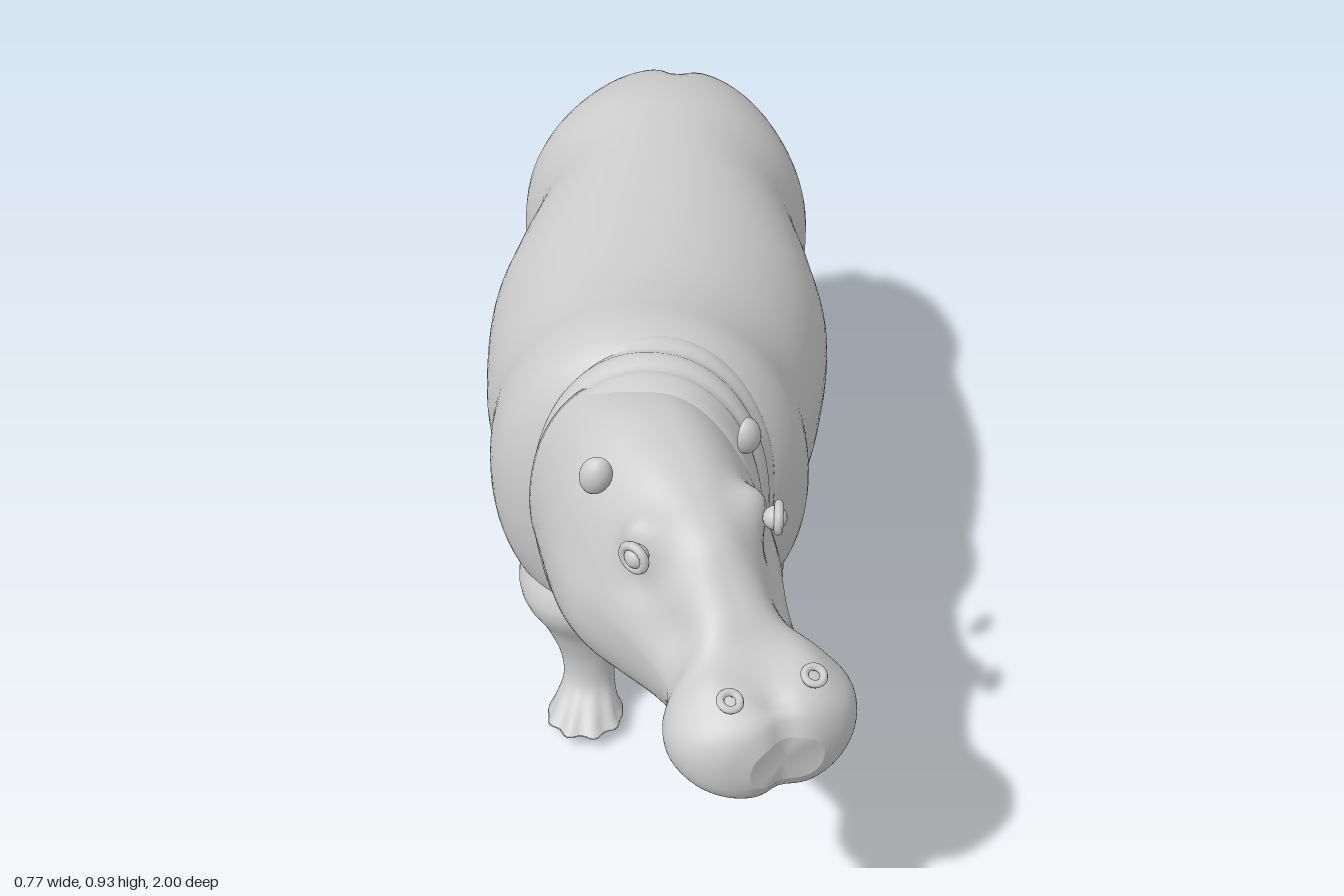
import * as THREE from 'three';

const skin = new THREE.MeshStandardMaterial({ color: 0xcccccc });
const thin = new THREE.MeshStandardMaterial({ color: 0xcccccc, side: THREE.DoubleSide });
const bell = (d, r) => Math.exp(-((d / r) ** 2));

// Catmull-Rom blend of number rows
function smoothRows(rows, sub) {
  const out = [], n = rows.length;
  for (let i = 0; i < n - 1; i++) {
    const [a, b, c, d] = [rows[Math.max(0, i - 1)], rows[i], rows[i + 1], rows[Math.min(n - 1, i + 2)]];
    for (let k = 0; k < sub; k++) {
      const t = k / sub;
      out.push(b.map((v, j) => v + 0.5 * t * (c[j] - a[j]
        + t * (2 * a[j] - 5 * v + 4 * c[j] - d[j] + t * (3 * (v - c[j]) + d[j] - a[j])))));
    }
  }
  out.push(rows[n - 1]);
  return out;
}

// Closed skin through smoothed cross-sections; place(row, cos, sin) gives [x, y, z]
function loft(name, rows, place, { sides = 64, sub = 5, power = 1 } = {}) {
  const pos = [], idx = [];
  const bend = v => Math.sign(v) * Math.abs(v) ** power;
  const rings = smoothRows(rows, sub);
  for (const r of rings) {
    for (let j = 0; j < sides; j++) {
      const t = j / sides * Math.PI * 2;
      pos.push(...place(r, bend(Math.cos(t)), bend(Math.sin(t))));
    }
  }
  for (let i = 0; i < rings.length - 1; i++) {
    for (let j = 0; j < sides; j++) {
      const k = (j + 1) % sides, p = i * sides, q = p + sides;
      idx.push(p + j, p + k, q + j, p + k, q + k, q + j);
    }
  }
  const last = (rings.length - 1) * sides, c0 = pos.length / 3;
  pos.push(...place(rings[0], 0, 0), ...place(rings[rings.length - 1], 0, 0));
  for (let j = 0; j < sides; j++) {
    const k = (j + 1) % sides;
    idx.push(c0, k, j, c0 + 1, last + j, last + k);
  }
  const g = new THREE.BufferGeometry();
  g.setAttribute('position', new THREE.Float32BufferAttribute(pos, 3));
  g.setIndex(idx);
  g.computeVertexNormals();
  const mesh = new THREE.Mesh(g, skin);
  mesh.name = name;
  return mesh;
}

function part(name, geometry, p, rot = [0, 0, 0], s = [1, 1, 1], material = skin) {
  const mesh = new THREE.Mesh(geometry, material);
  mesh.name = name;
  mesh.position.set(...p);
  mesh.rotation.set(...rot);
  mesh.scale.set(...s);
  return mesh;
}

// Torso: z, right edge, left edge, top, bottom
function makeTorso() {
  const rows = [
    [-0.975, -0.09, -0.01, 0.70, 0.60], [-0.95, -0.17, 0.06, 0.78, 0.49], [-0.9, -0.24, 0.13, 0.84, 0.40],
    [-0.8, -0.32, 0.2, 0.9, 0.31], [-0.65, -0.37, 0.25, 0.93, 0.26], [-0.5, -0.335, 0.24, 0.925, 0.25],
    [-0.35, -0.36, 0.28, 0.915, 0.24], [-0.2, -0.38, 0.31, 0.905, 0.23], [0, -0.36, 0.3, 0.897, 0.235],
    [0.12, -0.33, 0.28, 0.905, 0.215], [0.22, -0.32, 0.285, 0.915, 0.195], [0.3, -0.29, 0.25, 0.89, 0.24],
    [0.36, -0.22, 0.2, 0.8, 0.31], [0.39, -0.1, 0.1, 0.65, 0.42]];
  return loft('torso', rows, ([z, l, r, t, b], c, s) => {
    const x = (l + r) / 2 + c * (r - l) / 2;
    const y = (t + b) / 2 + s * (t - b) / 2;
    // cleft between the haunches
    const groove = THREE.MathUtils.smoothstep(-z, 0.7, 0.92) * bell(x + 0.05, 0.03);
    return [x, y - 0.014 * groove * s, z + 0.026 * groove];
  }, { sides: 80, power: 0.95 });
}

// Neck with skin folds leaning back at the top: z, x, half width, top, bottom
function makeNeck() {
  const rows = [[0.12, -0.02, 0.22, 0.88, 0.38], [0.24, -0.01, 0.235, 0.905, 0.34], [0.34, 0, 0.225, 0.908, 0.34],
    [0.44, 0.005, 0.205, 0.9, 0.355], [0.52, 0.03, 0.18, 0.87, 0.385], [0.6, 0.06, 0.12, 0.78, 0.45]];
  return loft('neck', rows, ([z, x, w, t, b], c, s) => {
    const fold = [0.31, 0.365, 0.42].reduce((f, m) => f + bell(z - m, 0.011), 0);
    const k = 1 - 0.03 * fold;
    return [x + c * w * k, (t + b) / 2 + s * (t - b) / 2 * k, z - 0.07 * s];
  }, { sub: 10, power: 0.95 });
}

// Swellings and hollows on both sides of the head: x, y, z, radius, height
const headBumps = [
  [0.105, 0.8, 0.235, 0.042, 0.036], [0.13, 0.72, 0.25, 0.04, -0.012], [0, 0.8, 0.3, 0.05, 0.01],
  [0.1, 0.68, 0.34, 0.05, -0.012], [0.18, 0.57, 0.12, 0.09, 0.014], [0.08, 0.665, 0.48, 0.045, 0.014],
  [0, 0.665, 0.53, 0.03, -0.016], [0.15, 0.58, 0.47, 0.06, 0.012], [0.14, 0.51, 0.36, 0.03, -0.012]];

function makeHead() {
  const head = new THREE.Group();
  head.name = 'head';
  // skull and snout: forward, half width, top, bottom, narrowing of the top
  const rows = [[-0.14, 0.17, 0.86, 0.42, 0.1], [0, 0.19, 0.897, 0.375, 0.15], [0.1, 0.185, 0.89, 0.395, 0.2],
    [0.2, 0.165, 0.862, 0.425, 0.28], [0.3, 0.135, 0.8, 0.45, 0.36], [0.38, 0.125, 0.735, 0.463, 0.3],
    [0.43, 0.148, 0.69, 0.465, 0.12], [0.48, 0.157, 0.664, 0.466, 0.05], [0.53, 0.147, 0.655, 0.47, 0.05],
    [0.562, 0.115, 0.637, 0.48, 0.05], [0.58, 0.065, 0.6, 0.51, 0.05]];
  head.add(loft('skull', rows, ([z, w, t, b, k], c, s) => {
    const x = c * w * (1 - k * Math.max(0, s)), y = (t + b) / 2 + s * (t - b) / 2;
    const h = headBumps.reduce((sum, [bx, by, bz, r, a]) =>
      sum + a * bell(Math.hypot(Math.abs(x) - bx, y - by, z - bz), r), 0);
    const split = THREE.MathUtils.smoothstep(z, 0.5, 0.57) * bell(x, 0.03);
    return [x + c * h, y + s * h, z - 0.014 * split];
  }, { sides: 96, sub: 8, power: 0.82 }));
  for (const m of [1, -1]) {
    head.add(
      part('eye', new THREE.SphereGeometry(0.021, 20, 14), [m * 0.126, 0.79, 0.258]),
      part('eyelid', new THREE.TorusGeometry(0.023, 0.008, 8, 24), [m * 0.132, 0.79, 0.26], [0, m * 1.1, 0]),
      part('nostril', new THREE.TorusGeometry(0.016, 0.007, 8, 20), [m * 0.075, 0.668, 0.515], [-1.2, 0, 0]),
      // cupped ear opening forward and outward
      part('ear', new THREE.SphereGeometry(1, 20, 12, Math.PI, Math.PI), [m * 0.138, 0.862, 0.115],
        [0, Math.PI + m * 0.6, m * -0.3], [0.028, 0.038, 0.026], thin));
  }
  head.position.z = 0.45;
  head.rotation.y = 0.5;
  return head;
}

// Leg sections: y, x, z, half width, half depth, toe spread
function makeLeg(name, rows) {
  return loft(name, rows, ([y, x, z, a, b, f], c, s) => {
    const toes = 1 + f * Math.max(0, -s) * (1 - 0.55 * Math.cos(10 * Math.atan2(c, -s)));
    return [x + c * a * toes, y, z - s * b * toes];
  });
}

function makeTail() {
  const path = new THREE.CatmullRomCurve3([[0.82, -0.89], [0.76, -0.945], [0.69, -0.974], [0.6, -0.97], [0.53, -0.945]]
    .map(([y, z], i) => new THREE.Vector3(-0.06 + 0.005 * i, y, z)));
  const tail = new THREE.Group();
  tail.name = 'tail';
  tail.add(part('tailTube', new THREE.TubeGeometry(path, 24, 0.024, 14), [0, 0, 0]),
    part('tailTip', new THREE.SphereGeometry(1, 20, 14), [-0.04, 0.53, -0.945], [-0.3, 0, 0], [0.025, 0.045, 0.023]));
  return tail;
}

export function createModel() {
  const model = new THREE.Group();
  model.name = 'hippopotamus';
  model.add(makeTorso(), makeNeck(), makeHead(), makeTail());
  model.add(makeLeg('frontLeftLeg', [[0.02, 0.13, 0.2, 0.078, 0.068, 0.15], [0.04, 0.122, 0.196, 0.064, 0.06, 0.12],
    [0.08, 0.098, 0.187, 0.051, 0.055, 0.02], [0.14, 0.09, 0.187, 0.053, 0.06, 0], [0.22, 0.105, 0.2, 0.08, 0.085, 0],
    [0.32, 0.125, 0.205, 0.12, 0.11, 0], [0.45, 0.12, 0.17, 0.1, 0.1, 0]]));
  model.add(makeLeg('frontRightLeg', [[0.032, -0.138, 0.312, 0.075, 0.074, 0.15], [0.052, -0.138, 0.3, 0.063, 0.064, 0.12],
    [0.092, -0.135, 0.272, 0.051, 0.05, 0.02], [0.15, -0.135, 0.258, 0.058, 0.056, 0], [0.22, -0.14, 0.25, 0.082, 0.078, 0],
    [0.32, -0.15, 0.24, 0.12, 0.12, 0], [0.45, -0.15, 0.17, 0.1, 0.1, 0]]));
  for (const [name, x, y] of [['rearLeftLeg', 0.062, 0.002], ['rearRightLeg', -0.215, 0.022]]) {
    model.add(makeLeg(name, [[y, x, -0.59, 0.078, 0.085, 0.15], [y + 0.02, x, -0.598, 0.065, 0.075, 0.12],
      [y + 0.065, x, -0.628, 0.05, 0.058, 0.02], [0.13, x, -0.642, 0.05, 0.064, 0], [0.2, x, -0.668, 0.06, 0.088, 0],
      [0.29, x, -0.68, 0.088, 0.112, 0], [0.42, x, -0.66, 0.1, 0.11, 0]]));
  }
  return model;
}
